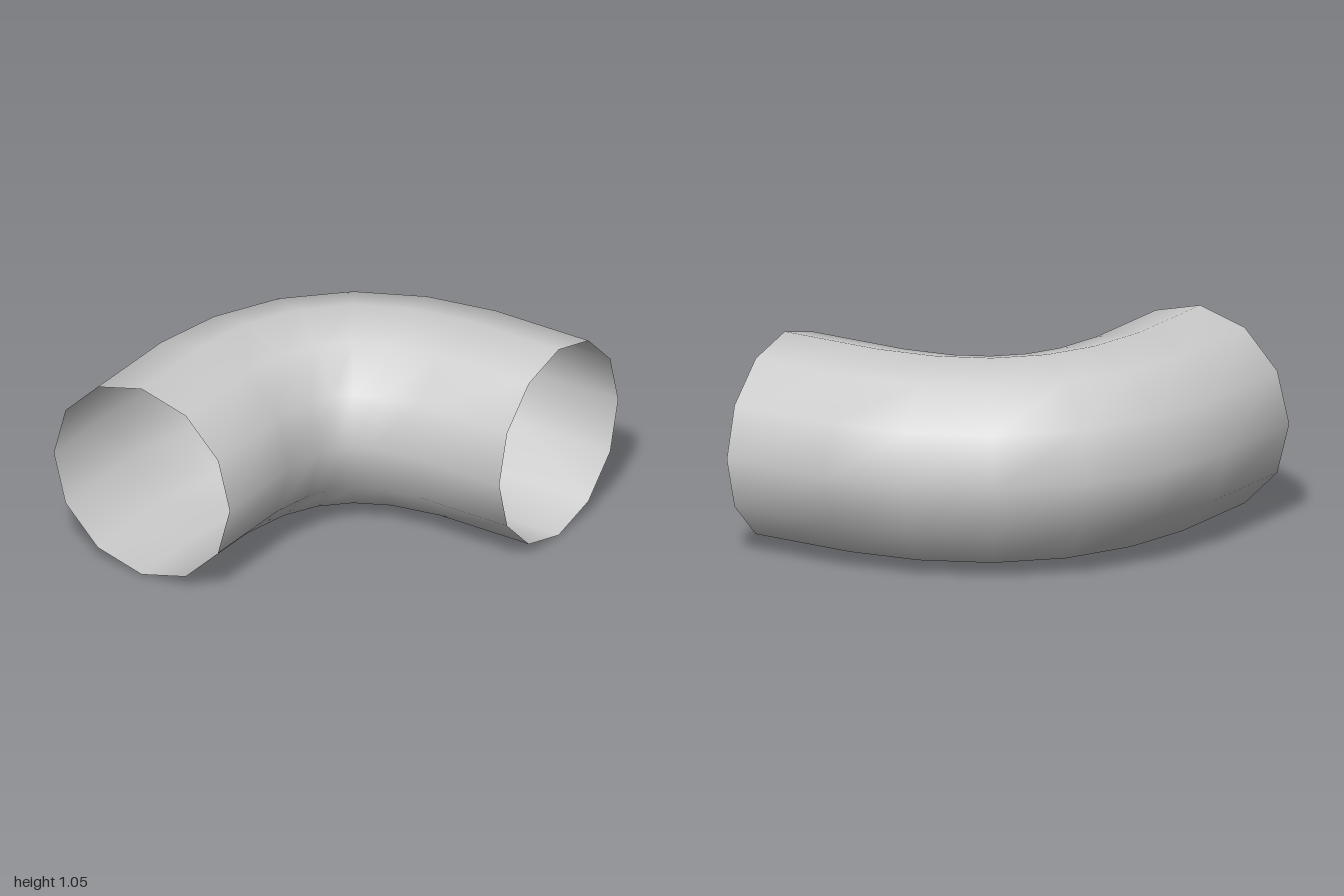
import * as THREE from 'three';

const SIDES = 12, RADIUS = 0.523;

// Half of the bend: [outer x, outer z, inner x, inner z] of each ring
const half = [
  [-1, 1, 0.045, 1],
  [-0.992, 0.44, 0.05, 0.485],
  [-0.912, 0.03, 0.09, 0.285],
  [-0.712, -0.38, 0.138, 0.195],
];

export function createModel() {
  // The other half mirrors across the diagonal (x and z swapped)
  const rings = [...half, ...half.slice().reverse().map(([a, b, c, d]) => [b, a, d, c])];
  const positions = [], index = [];

  rings.forEach(([ox, oz, ix, iz], r) => {
    for (let k = 0; k < SIDES; k++) {
      const angle = (k / SIDES) * Math.PI * 2;
      const t = (1 - Math.cos(angle)) / 2; // 0 = outer edge, 1 = inner edge
      positions.push(ox + (ix - ox) * t, RADIUS + RADIUS * Math.sin(angle), oz + (iz - oz) * t);
      if (r < rings.length - 1) {
        const a = r * SIDES + k, b = r * SIDES + (k + 1) % SIDES;
        index.push(a, b, a + SIDES, b, b + SIDES, a + SIDES);
      }
    }
  });

  // Open elbow pipe, smooth shaded
  const geometry = new THREE.BufferGeometry();
  geometry.setAttribute('position', new THREE.Float32BufferAttribute(positions, 3));
  geometry.setIndex(index);
  geometry.computeVertexNormals();

  const pipe = new THREE.Mesh(geometry,
    new THREE.MeshStandardMaterial({ color: 0xcccccc, side: THREE.DoubleSide }));
  pipe.name = 'elbowPipe';

  const group = new THREE.Group();
  group.name = 'pipeBend';
  group.add(pipe);
  return group;
}
